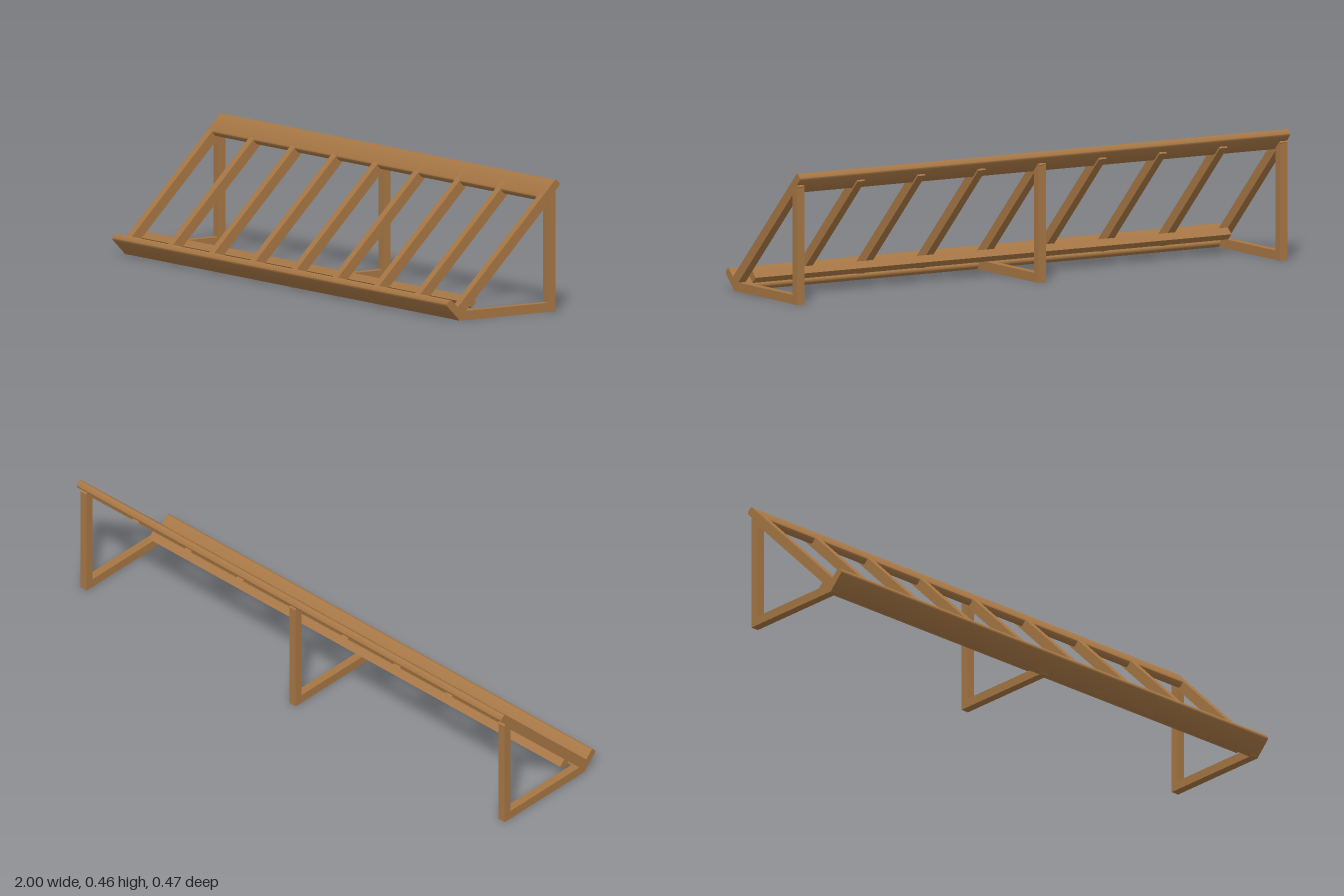
import * as THREE from 'three';
import { toCreasedNormals } from 'three/addons/utils/BufferGeometryUtils.js';

const wood = new THREE.MeshStandardMaterial({ color: 0xa67644 });
wood.name = 'wood';

const RAFTERS = 9;
const BAR = 0.03; // width of the rafters and frames along x
const OUTER = 1 - BAR / 2;

// Extrudes a profile drawn in (z, y) along x, centred on x = 0
function extrudeAlongX(shape, length, angle = 0) {
  const geometry = new THREE.ExtrudeGeometry(shape, {
    depth: length, bevelEnabled: false, curveSegments: 6,
  });
  geometry.translate(0, 0, -length / 2);
  geometry.rotateZ(angle);
  geometry.rotateY(-Math.PI / 2);
  return toCreasedNormals(geometry, 0.5);
}

// Bar tilted 45 degrees: s = z + y runs across the slope, d = z - y runs down it
function slopedBar(s0, s1, d0, d1, length, r = 0) {
  const k = Math.SQRT1_2;
  const [x0, x1, y0, y1] = [d0 * k, d1 * k, s0 * k, s1 * k];
  const shape = new THREE.Shape();
  if (r > 0) {
    shape.absarc(x1 - r, y0 + r, r, -Math.PI / 2, 0);
    shape.absarc(x1 - r, y1 - r, r, 0, Math.PI / 2);
    shape.absarc(x0 + r, y1 - r, r, Math.PI / 2, Math.PI);
    shape.absarc(x0 + r, y0 + r, r, Math.PI, Math.PI * 1.5);
  } else {
    shape.moveTo(x0, y0).lineTo(x1, y0).lineTo(x1, y1).lineTo(x0, y1);
  }
  shape.closePath();
  return extrudeAlongX(shape, length, -Math.PI / 4);
}

function polygonBar(points, length) {
  return extrudeAlongX(new THREE.Shape(points.map(([z, y]) => new THREE.Vector2(z, y))), length);
}

export function createModel() {
  const group = new THREE.Group();
  group.name = 'slantedRack';

  const add = (name, geometry, x = 0) => {
    const mesh = new THREE.Mesh(geometry, wood);
    mesh.name = name;
    mesh.position.x = x;
    group.add(mesh);
  };

  // Long boards: rounded top rail and front lip, square cleat under the rafters
  add('topRail', slopedBar(0.2, 0.24, -0.68, -0.56, 2, 0.009));
  add('frontLip', slopedBar(0.175, 0.3, 0.144, 0.183, 2, 0.009));
  add('rearCleat', slopedBar(0.147, 0.19, 0.039, 0.079, 1.94));

  // Evenly spaced sloping rafters
  const rafter = slopedBar(0.19, 0.24, -0.63, 0.183, BAR);
  for (let i = 0; i < RAFTERS; i++) {
    add('rafter', rafter, -OUTER + (2 * OUTER * i) / (RAFTERS - 1));
  }

  // Three support frames: a back post and a floor bar mitred at the front
  const post = polygonBar([[-0.218, 0], [-0.188, 0], [-0.188, 0.4], [-0.218, 0.409]], BAR);
  const floorBar = polygonBar([[-0.218, 0], [0.185, 0], [0.19, 0.007], [0.16, 0.032], [-0.218, 0.032]], BAR);
  for (const x of [-OUTER, 0, OUTER]) {
    add('backPost', post, x);
    add('floorBar', floorBar, x);
  }
  return group;
}
